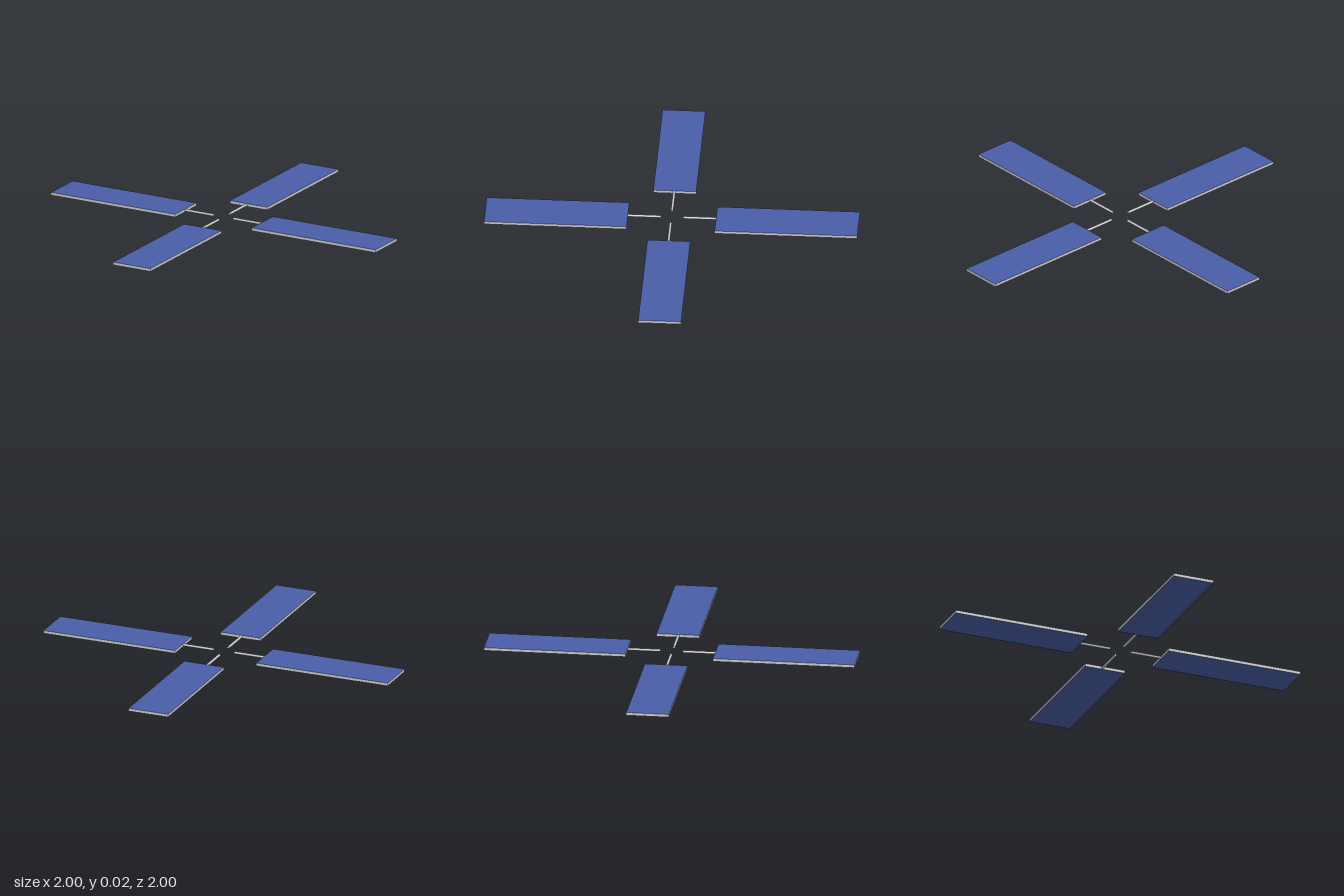
import * as THREE from 'three';

const THICK = 0.016, WIDTH = 0.23, INNER = 0.236, ROD_START = 0.06, ROD_RADIUS = 0.007;

export function createModel() {
  const model = new THREE.Group();
  model.name = 'solarPanelCross';

  const grey = new THREE.MeshStandardMaterial({ color: 0xcccccc });
  const blue = new THREE.MeshStandardMaterial({ color: 0x4a5ea8 });

  // One arm pointing along +x: a panel with blue faces and grey rim, on a thin rod
  function arm(name, angle, panelOffset, rodOffset) {
    const group = new THREE.Group();
    group.name = name;

    const length = 1 - INNER;
    const panel = new THREE.Mesh(
      new THREE.BoxGeometry(length, THICK, WIDTH),
      [grey, grey, blue, blue, grey, grey]
    );
    panel.name = 'panel';
    panel.position.set(INNER + length / 2, THICK / 2, panelOffset);

    const rodLength = INNER - ROD_START + 0.01;
    const rod = new THREE.Mesh(new THREE.CylinderGeometry(ROD_RADIUS, ROD_RADIUS, rodLength, 16), grey);
    rod.name = 'rod';
    rod.rotation.z = Math.PI / 2;
    rod.position.set(ROD_START + rodLength / 2, THICK / 2, rodOffset);

    group.add(panel, rod);
    group.rotation.y = angle;
    model.add(group);
  }

  // Each panel sits slightly off its rod's axis
  arm('leftArm', 0, 0.002, 0.004);
  arm('backArm', Math.PI / 2, 0.014, 0);
  arm('rightArm', Math.PI, -0.001, -0.004);
  arm('frontArm', -Math.PI / 2, -0.005, 0);

  return model;
}
